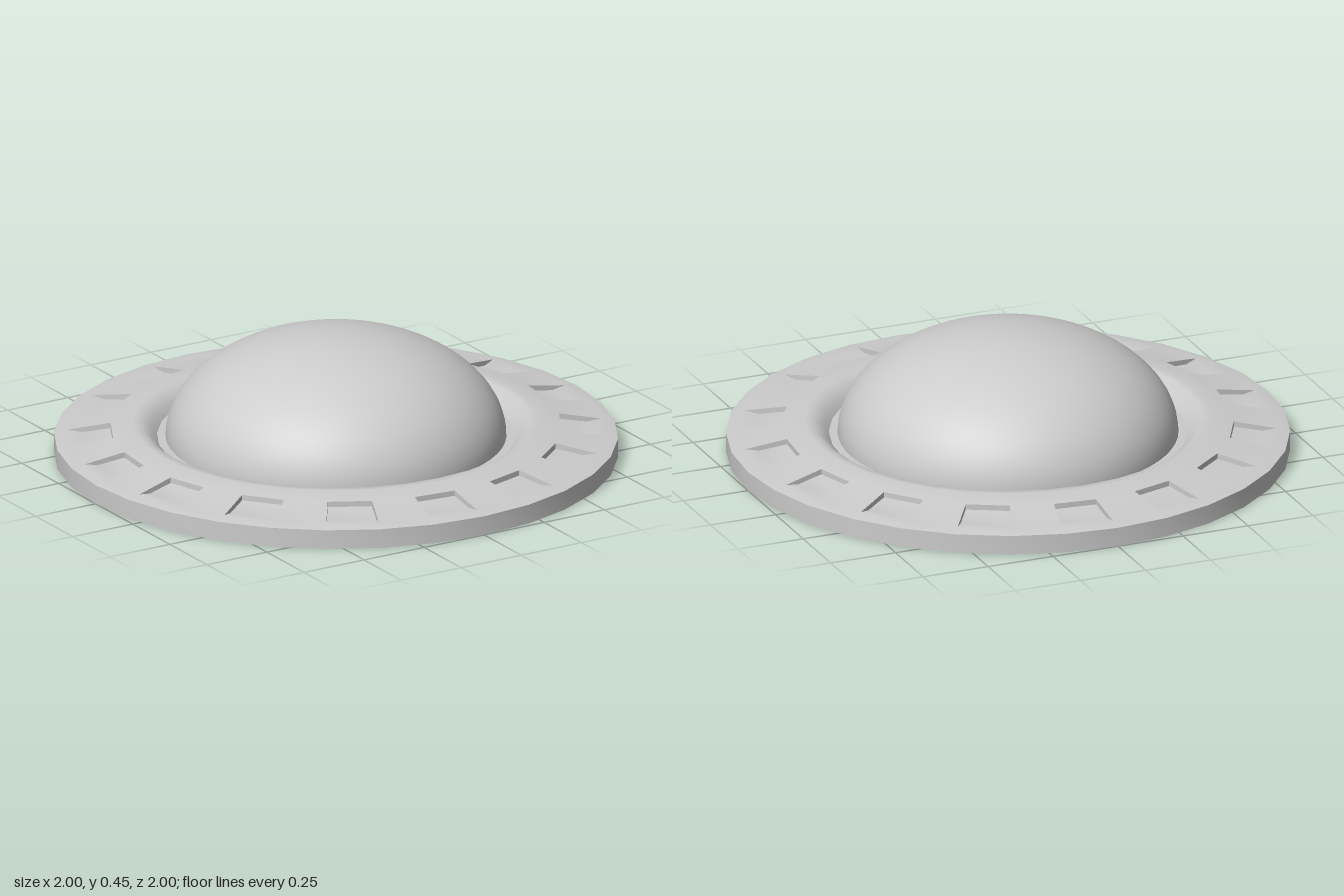
import * as THREE from 'three';
import { toCreasedNormals } from 'three/addons/utils/BufferGeometryUtils.js';

const SEGMENTS = 32;
const material = new THREE.MeshStandardMaterial({ color: 0xcccccc });

// Rim cross-sections as [radius, height], from the outer foot up and inwards.
const outer = [[1, 0], [1, 0.07], [0.95, 0.079]];
const inner = [[0.8, 0.106], [0.72, 0.12], [0.69, 0.119], [0.655, 0.093], [0.635, 0.07], [0.59, 0.07]];
const recess = [[0.9, 0.07], [0.8, 0.086]];
const plainProfile = [...outer, ...inner];
const recessProfile = [...outer, ...recess, ...inner];

function createRimGeometry() {
  const positions = [];
  const point = ([r, y], i) => {
    const a = (i / SEGMENTS) * Math.PI * 2;
    return [r * Math.sin(a), y, -r * Math.cos(a)];
  };
  const quad = (a, b, c, d) => positions.push(...a, ...b, ...c, ...a, ...c, ...d);

  for (let i = 0; i < SEGMENTS; i++) {
    // every second segment carries a sunken panel
    const sunken = i % 2 === 0;
    const profile = sunken ? recessProfile : plainProfile;
    for (let k = 0; k < profile.length - 1; k++) {
      const p = profile[k], q = profile[k + 1];
      quad(point(p, i), point(q, i), point(q, i + 1), point(p, i + 1));
    }
    if (sunken) {
      // side walls of the panel
      const wall = [outer[2], ...recess, inner[0]];
      quad(...wall.map((p) => point(p, i)).reverse());
      quad(...wall.map((p) => point(p, i + 1)));
    }
  }
  const geometry = new THREE.BufferGeometry();
  geometry.setAttribute('position', new THREE.Float32BufferAttribute(positions, 3));
  return toCreasedNormals(geometry, THREE.MathUtils.degToRad(38));
}

export function createModel() {
  const group = new THREE.Group();
  group.name = 'domedDisc';
  const add = (name, geometry) => {
    const mesh = new THREE.Mesh(geometry, material);
    mesh.name = name;
    group.add(mesh);
    return mesh;
  };

  // Faceted rim with sunken panels and a groove around the dome
  add('rim', createRimGeometry());

  // Flat underside
  add('underside', new THREE.CircleGeometry(1, SEGMENTS).rotateX(Math.PI / 2));

  // Flattened smooth dome
  const dome = new THREE.SphereGeometry(1, 64, 24, 0, Math.PI * 2, 0, Math.PI / 2);
  dome.scale(0.604, 0.38, 0.604);
  add('dome', dome).position.y = 0.07;

  return group;
}
